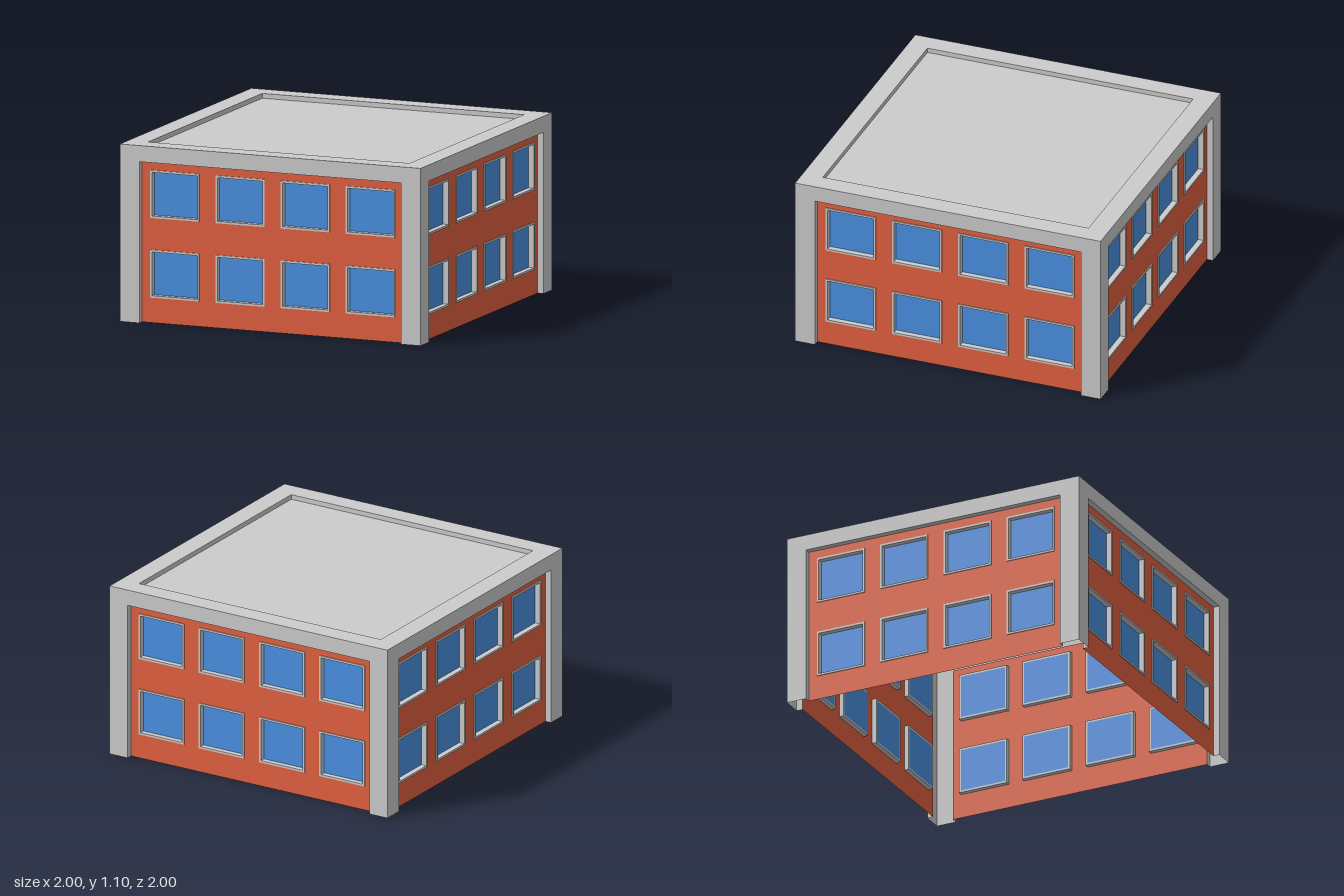
import * as THREE from 'three';

const grey = new THREE.MeshStandardMaterial({ color: 0xcccccc, side: THREE.DoubleSide });
const brick = new THREE.MeshStandardMaterial({ color: 0xe2603f, side: THREE.DoubleSide });
const glass = new THREE.MeshStandardMaterial({ color: 0x4a90e2, side: THREE.DoubleSide });

const HALF = 1, HEIGHT = 1.1;          // outer shell
const INNER = 0.87, BEAM = 1.0;        // opening between pillars, under the beam
const WALL_Z = 0.96;                   // recessed brick wall
const ROOF_Y = 1.07;                   // sunken roof deck
const WIN_W = 0.326, WIN_H = 0.296, FRAME = 0.013, FRAME_OUT = 0.006, FRAME_IN = 0.03;
const WINDOWS = [];
for (const y of [0.304, 0.798]) for (const x of [-0.65, -0.217, 0.217, 0.65]) WINDOWS.push([x, y]);

function add(parent, name, geometry, material, x = 0, y = 0, z = 0) {
  const mesh = new THREE.Mesh(geometry, material);
  mesh.name = name;
  mesh.position.set(x, y, z);
  parent.add(mesh);
  return mesh;
}

function rect(Type, x0, y0, x1, y1) {
  return new Type([[x0, y0], [x1, y0], [x1, y1], [x0, y1]].map(p => new THREE.Vector2(...p)));
}

function createWindow() {
  const window = new THREE.Group();
  window.name = 'window';
  const w = WIN_W / 2, h = WIN_H / 2;
  const ring = rect(THREE.Shape, -w, -h, w, h);
  ring.holes.push(rect(THREE.Path, -w + FRAME, -h + FRAME, w - FRAME, h - FRAME));
  const frame = new THREE.ExtrudeGeometry(ring, { depth: FRAME_OUT + FRAME_IN, bevelEnabled: false });
  add(window, 'windowFrame', frame, grey, 0, 0, -FRAME_IN);
  add(window, 'windowPane', new THREE.PlaneGeometry(WIN_W - 2 * FRAME, WIN_H - 2 * FRAME), glass, 0, 0, -FRAME_IN);
  return window;
}

function createFacade() {
  const facade = new THREE.Group();
  facade.name = 'facade';

  // Brick wall with window openings
  const wall = rect(THREE.Shape, -INNER, 0, INNER, BEAM);
  for (const [x, y] of WINDOWS) {
    wall.holes.push(rect(THREE.Path, x - WIN_W / 2, y - WIN_H / 2, x + WIN_W / 2, y + WIN_H / 2));
    const window = createWindow();
    window.position.set(x, y, WALL_Z);
    facade.add(window);
  }
  add(facade, 'brickWall', new THREE.ShapeGeometry(wall), brick, 0, 0, WALL_Z);

  // Corner pillars and top beam as one outer face
  const portal = new THREE.Shape([
    [-HALF, 0], [-INNER, 0], [-INNER, BEAM], [INNER, BEAM],
    [INNER, 0], [HALF, 0], [HALF, HEIGHT], [-HALF, HEIGHT],
  ].map(p => new THREE.Vector2(...p)));
  add(facade, 'pillarsAndBeam', new THREE.ShapeGeometry(portal), grey, 0, 0, HALF);

  // Returns from the outer face back to the wall
  const depth = HALF - WALL_Z, mid = (HALF + WALL_Z) / 2;
  for (const s of [-1, 1]) {
    const side = add(facade, 'pillarReturn', new THREE.PlaneGeometry(depth, BEAM), grey, s * INNER, BEAM / 2, mid);
    side.rotation.y = -s * Math.PI / 2;
  }
  const soffit = add(facade, 'beamSoffit', new THREE.PlaneGeometry(2 * INNER, depth), grey, 0, BEAM, mid);
  soffit.rotation.x = Math.PI / 2;

  // Inner lip of the roof rim
  const lip = add(facade, 'roofLip', new THREE.PlaneGeometry(2 * INNER, HEIGHT - ROOF_Y), grey,
    0, (HEIGHT + ROOF_Y) / 2, INNER);
  lip.rotation.y = Math.PI;
  return facade;
}

export function createModel() {
  const model = new THREE.Group();
  model.name = 'building';

  // Four identical sides
  for (let i = 0; i < 4; i++) {
    const facade = createFacade();
    facade.rotation.y = i * Math.PI / 2;
    model.add(facade);
  }

  // Roof rim and sunken deck
  const rim = rect(THREE.Shape, -HALF, -HALF, HALF, HALF);
  rim.holes.push(rect(THREE.Path, -INNER, -INNER, INNER, INNER));
  add(model, 'roofRim', new THREE.ShapeGeometry(rim), grey, 0, HEIGHT, 0).rotation.x = -Math.PI / 2;
  add(model, 'roofDeck', new THREE.PlaneGeometry(2 * INNER, 2 * INNER), grey, 0, ROOF_Y, 0).rotation.x = -Math.PI / 2;
  return model;
}
